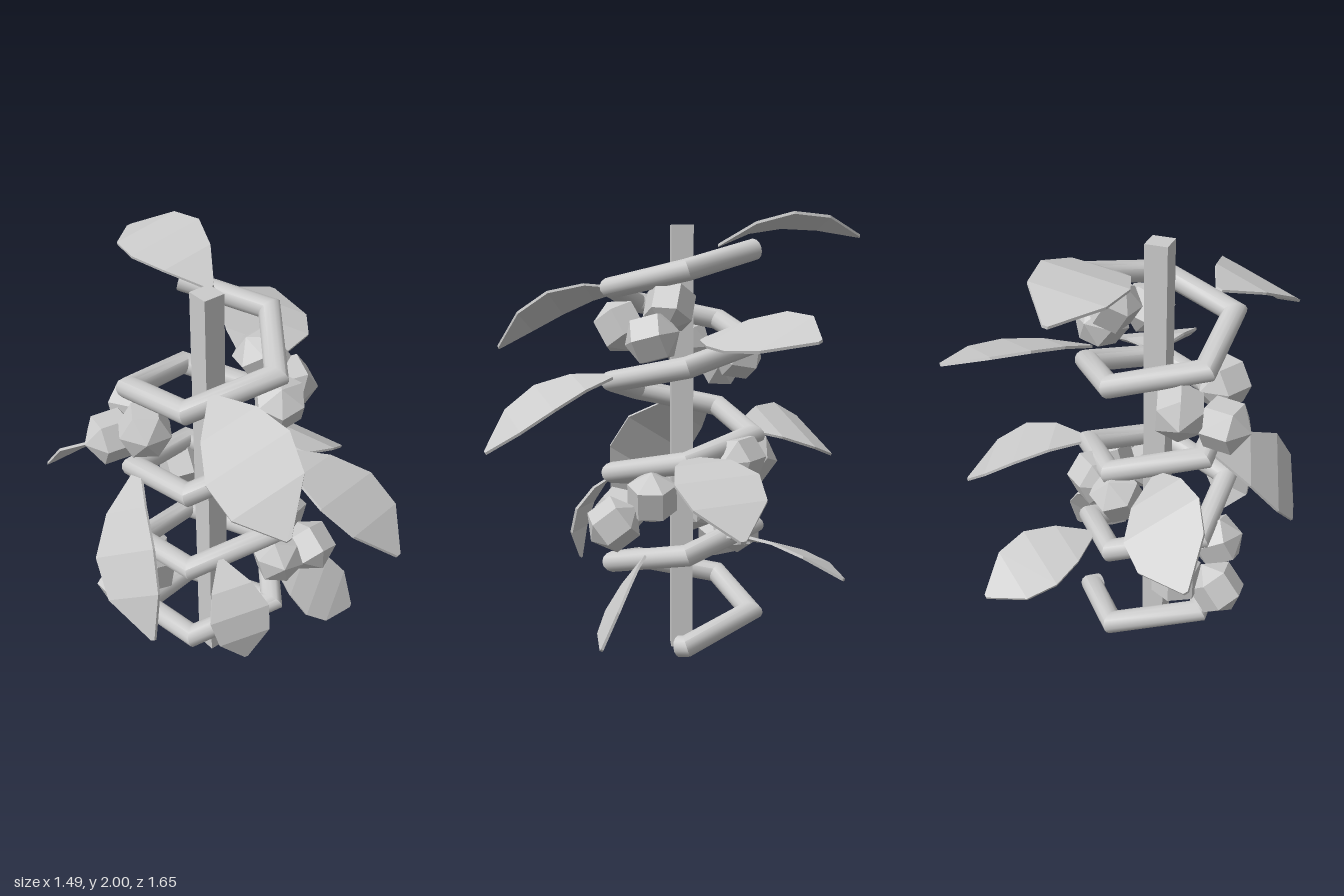
import * as THREE from 'three';
import { toCreasedNormals } from 'three/addons/utils/BufferGeometryUtils.js';

const V = (a) => new THREE.Vector3(...a);
const smooth = new THREE.MeshStandardMaterial({ color: 0xcccccc });
const faceted = new THREE.MeshStandardMaterial({ color: 0xcccccc, flatShading: true });
const CX = -0.14, CZ = -0.05, VINE_R = 0.048;

// straight runs between points, with mitred tangents at the corners
class Polyline extends THREE.Curve {
  constructor(points) { super(); this.points = points; }
  getPointAt(u, target = new THREE.Vector3()) {
    return target.copy(this.points[Math.round(u * (this.points.length - 1))]);
  }
  getTangentAt(u, target = new THREE.Vector3()) {
    const p = this.points, i = Math.round(u * (p.length - 1));
    target.set(0, 0, 0);
    if (i > 0) target.add(p[i].clone().sub(p[i - 1]).normalize());
    if (i < p.length - 1) target.add(p[i + 1].clone().sub(p[i]).normalize());
    return target.normalize();
  }
}

function add(group, name, geometry, material) {
  const mesh = new THREE.Mesh(geometry, material);
  mesh.name = name;
  group.add(mesh);
  return mesh;
}

// five-sided spiral climbing round the post
function buildVine(group) {
  const corner = (k) => {
    const a = -k * Math.PI * 2 / 5;
    return new THREE.Vector3(CX + 0.33 * Math.cos(a), 0.1 + 0.083 * k, CZ + 0.33 * Math.sin(a));
  };
  const points = [corner(0).lerp(corner(-1), 0.1)];
  for (let k = 0; k <= 21; k++) points.push(corner(k));
  const n = points.length - 1, sides = 14;
  const geometry = new THREE.TubeGeometry(new Polyline(points), n, VINE_R, sides);
  // widen the corner rings so every run keeps its full thickness
  const pos = geometry.attributes.position, stretch = 1 / Math.cos(Math.PI / 5);
  for (let i = 0; i < pos.count; i++) {
    const ring = Math.floor(i / (sides + 1));
    if (ring === 0 || ring === n) continue;
    const c = points[ring];
    pos.setX(i, c.x + (pos.getX(i) - c.x) * stretch);
    pos.setZ(i, c.z + (pos.getZ(i) - c.z) * stretch);
  }
  add(group, 'vine', toCreasedNormals(geometry, 0.8), smooth);
  for (const [end, inner] of [[points[0], points[1]], [points[n], points[n - 1]]]) {
    const cap = add(group, 'vineEnd', new THREE.CircleGeometry(VINE_R, sides), smooth);
    cap.position.copy(end);
    cap.lookAt(end.clone().multiplyScalar(2).sub(inner));
  }
}

// thin arched blade from base to tip; side is the half-width vector
function leafGeometry(base, tip, side, arch) {
  const widths = [0.08, 0.68, 1, 0.86, 0.06], rows = widths.length - 1;
  const b = V(base), axis = V(tip).sub(b), s = V(side);
  const normal = axis.clone().cross(s).normalize();
  const geometry = new THREE.BoxGeometry(2, 0.012, 1, 1, 1, rows);
  const pos = geometry.attributes.position, p = new THREE.Vector3();
  for (let i = 0; i < pos.count; i++) {
    const t = pos.getZ(i) + 0.5;
    p.copy(b).addScaledVector(axis, t)
      .addScaledVector(s, pos.getX(i) * widths[Math.round(t * rows)])
      .addScaledVector(normal, pos.getY(i) + arch * 4 * t * (1 - t));
    pos.setXYZ(i, p.x, p.y, p.z);
  }
  geometry.computeVertexNormals();
  return geometry;
}

export function createModel() {
  const group = new THREE.Group();
  group.name = 'climbingPlant';

  const post = add(group, 'post', new THREE.BoxGeometry(0.1, 1.95, 0.1), faceted);
  post.position.set(CX, 0.975, CZ);

  buildVine(group);

  // leaves: base, tip, half-width vector, arch height
  const leaves = [
    [[0, 1.86, -0.2], [0.02, 1.9, -0.82], [-0.18, -0.03, 0], 0.09],
    [[-0.32, 1.66, 0.2], [-0.43, 1.38, 0.8], [0.18, 0.06, 0.03], 0.08],
    [[-0.02, 1.29, 0.25], [0.17, 0.98, 0.82], [0.19, -0.03, -0.05], 0.08],
    [[0.18, 0.95, -0.06], [0.73, 0.71, -0.23], [-0.05, 0.01, -0.18], 0.09],
    [[-0.42, 1.12, -0.2], [-0.7, 0.6, 0.26], [0.05, 0.1, 0.15], 0.12],
    [[-0.23, 1.02, -0.32], [-0.53, 0.84, -0.81], [-0.13, 0.09, 0.08], 0.09],
    [[0.14, 1.46, -0.12], [0.63, 1.49, -0.54], [-0.14, 0.07, -0.15], 0.04],
    [[0.1, 0.57, -0.24], [0.42, 0.46, -0.7], [-0.12, -0.05, -0.09], 0.05],
    [[0.1, 0.49, 0.13], [0.42, 0.17, 0.33], [0.11, 0.09, -0.05], 0.03],
    [[-0.3, 0.81, 0.22], [-0.32, 0.38, 0.42], [0.13, 0.01, 0.04], 0.09],
  ];
  for (const leaf of leaves) add(group, 'leaf', leafGeometry(...leaf), faceted);

  // clusters of faceted fruit
  const fruits = [
    [0.01, 1.51, 0.23], [0.18, 1.47, 0.1], [0.09, 1.6, 0.02],
    [-0.5, 1.29, -0.27], [-0.33, 1.35, -0.33], [-0.44, 1.39, -0.1],
    [0.01, 0.67, 0.24], [0.18, 0.66, 0.27], [0.15, 0.77, 0.1],
    [-0.5, 0.45, -0.27], [-0.33, 0.51, -0.33], [-0.45, 0.59, -0.12],
    [0.06, 0.92, -0.29], [-0.07, 0.9, -0.36],
  ];
  const fruitGeometry = new THREE.SphereGeometry(0.125, 6, 3);
  fruits.forEach((at, i) => {
    const fruit = add(group, 'fruit', fruitGeometry, faceted);
    fruit.position.set(...at);
    fruit.rotation.set(0.5 + i * 0.7, i * 1.1, 0.3 + i * 0.4);
  });

  return group;
}
